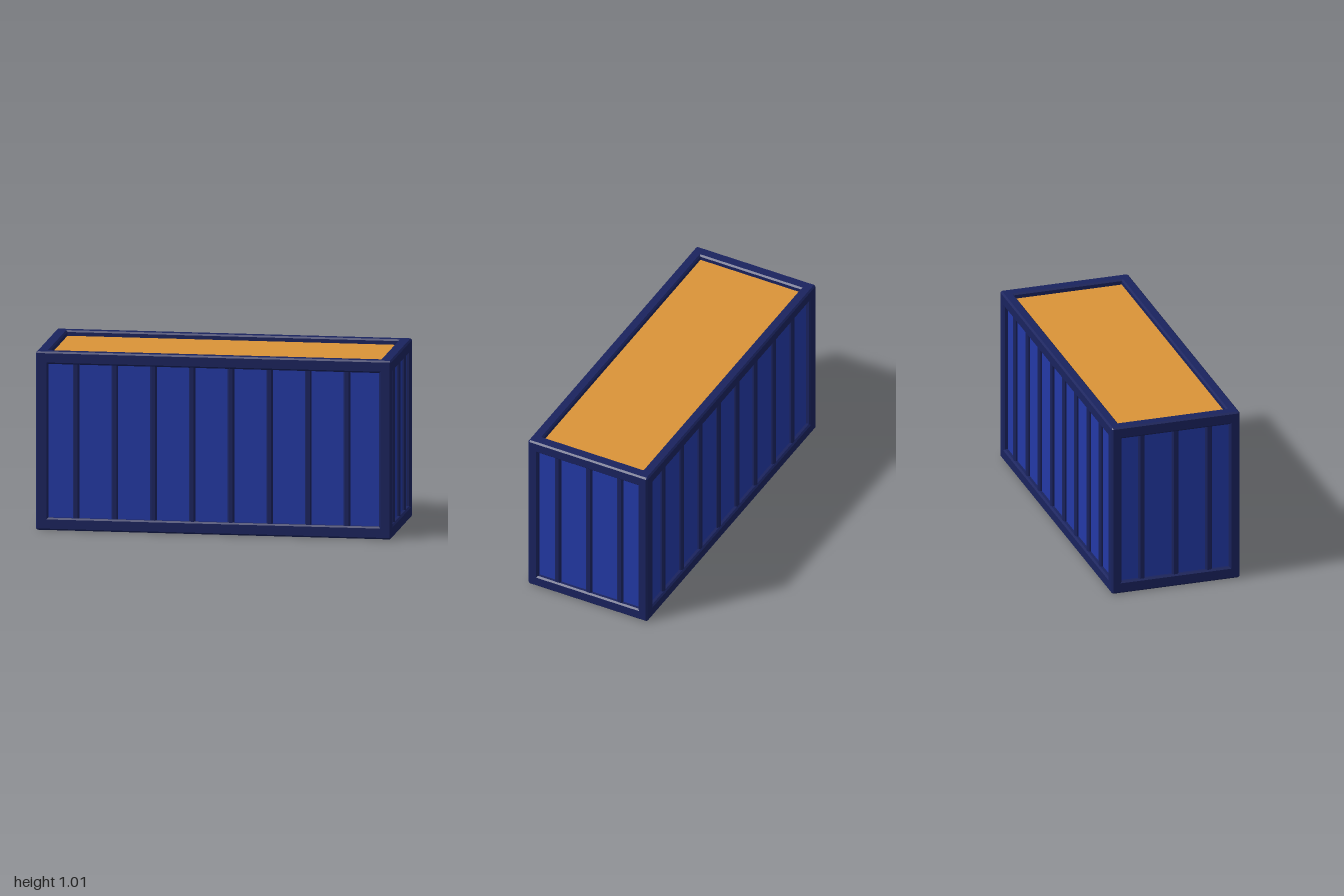
import * as THREE from 'three';
import { ConvexGeometry } from 'three/addons/geometries/ConvexGeometry.js';

const W = 2, H = 1.007, D = 0.75;        // outer size
const PX = 0.07, PY = 0.07, PZ = 0.06;   // frame bar thickness along x, y, z
const RECESS = 0.025;                    // panels sit behind the frame face
const BEVEL = 0.009;

const frameMat = new THREE.MeshStandardMaterial({ color: 0x1a235e });
const panelMat = new THREE.MeshStandardMaterial({ color: 0x2339a6 });
const fillMat = new THREE.MeshStandardMaterial({ color: 0xda9438 });

// Box with every edge chamfered
function chamferBox(w, h, d, b = BEVEL) {
  const pts = [];
  for (const x of [-1, 1]) for (const y of [-1, 1]) for (const z of [-1, 1]) {
    for (let axis = 0; axis < 3; axis++) {
      const inset = [b, b, b];
      inset[axis] = 0;
      pts.push(new THREE.Vector3(x * (w / 2 - inset[0]), y * (h / 2 - inset[1]), z * (d / 2 - inset[2])));
    }
  }
  return new ConvexGeometry(pts);
}

function add(parent, name, geometry, material, x, y, z) {
  const mesh = new THREE.Mesh(geometry, material);
  mesh.name = name;
  mesh.position.set(x, y, z);
  parent.add(mesh);
  return mesh;
}

// One wall facing +z: a recessed panel with upright ribs
function wall(name, width, out, ribs) {
  const group = new THREE.Group();
  group.name = name;
  const t = 0.02;
  add(group, 'panel', new THREE.BoxGeometry(width - 0.06, H - 0.06, t), panelMat, 0, H / 2, out - RECESS - t / 2);
  const ribDepth = 0.03;
  const ribGeo = chamferBox(0.036, H - 0.1, ribDepth, 0.008);
  for (const x of ribs) add(group, 'rib', ribGeo, frameMat, x, H / 2, out - 0.008 - ribDepth / 2);
  return group;
}

export function createModel() {
  const model = new THREE.Group();
  model.name = 'openContainer';

  // Frame: four posts, four long rails, four short rails
  const frame = new THREE.Group();
  frame.name = 'frame';
  model.add(frame);
  const post = chamferBox(PX, H, PZ);
  const longRail = chamferBox(W, PY, PZ);
  const shortRail = chamferBox(PX, PY, D);
  for (const sx of [-1, 1]) {
    for (const sz of [-1, 1]) {
      add(frame, 'cornerPost', post, frameMat, sx * (W - PX) / 2, H / 2, sz * (D - PZ) / 2);
    }
    for (const y of [PY / 2, H - PY / 2]) {
      add(frame, 'longRail', longRail, frameMat, 0, y, sx * (D - PZ) / 2);
      add(frame, 'shortRail', shortRail, frameMat, sx * (W - PX) / 2, y, 0);
    }
  }

  // Walls: opposite sides are half-turn copies
  const longRibs = Array.from({ length: 8 }, (_, i) => -0.775 + i * 0.2176);
  const shortRibs = [-0.196, 0, 0.196];
  ['frontWall', 'leftWall', 'backWall', 'rightWall'].forEach((name, i) => {
    const side = i % 2 ? wall(name, D, W / 2, shortRibs) : wall(name, W, D / 2, longRibs);
    side.rotation.y = i * Math.PI / 2;
    model.add(side);
  });

  // Floor and the load filling the top
  add(model, 'floor', new THREE.BoxGeometry(W - 0.08, 0.02, D - 0.08), panelMat, 0, RECESS + 0.01, 0);
  add(model, 'load', new THREE.BoxGeometry(W - 0.12, 0.03, D - 0.1), fillMat, 0, H - 0.03 - 0.015, 0);

  return model;
}
